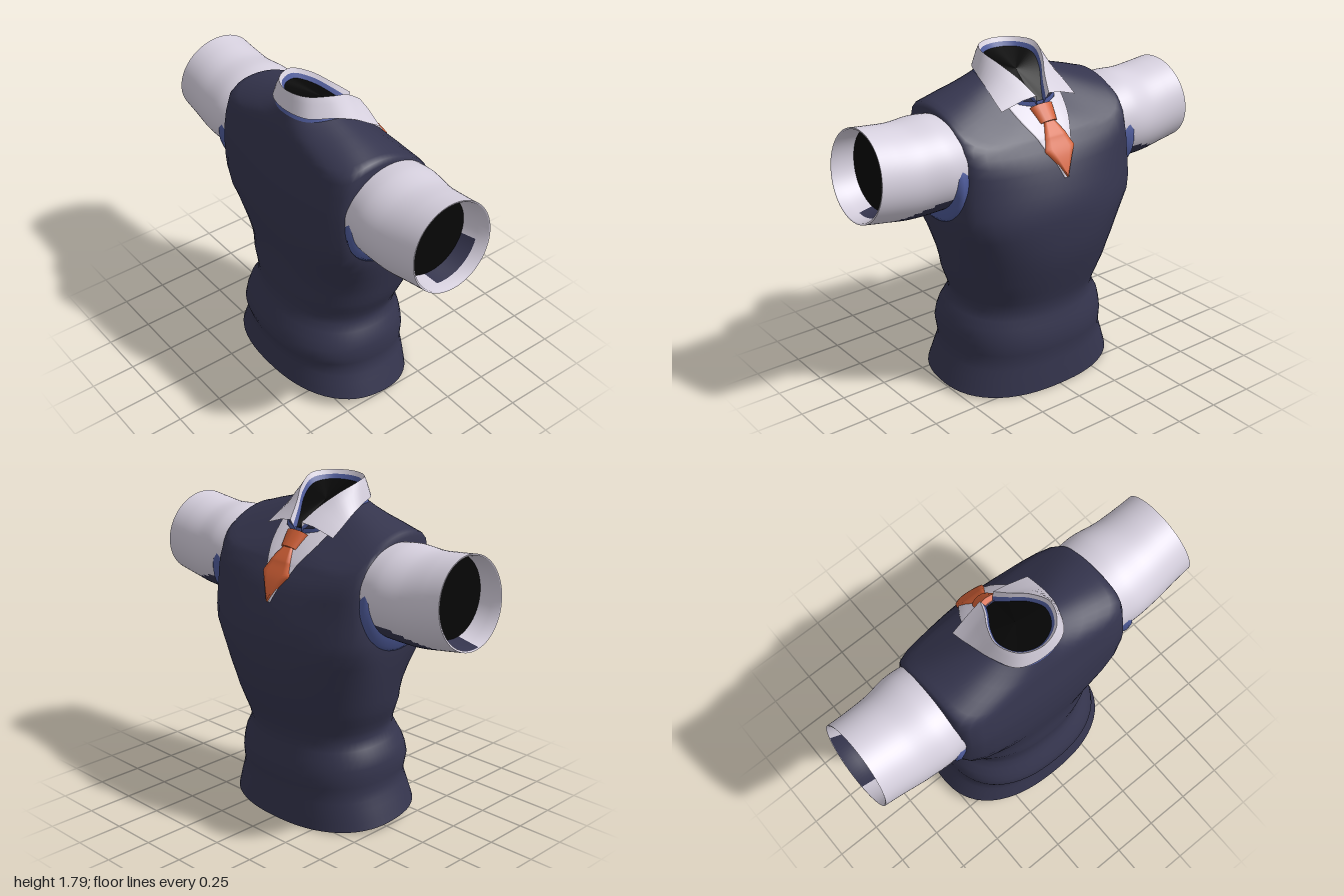
import * as THREE from 'three';

const paint = (name, color) => {
  const m = new THREE.MeshStandardMaterial({ color, side: THREE.DoubleSide });
  m.name = name;
  return m;
};
const V = (x, y, z) => new THREE.Vector3(x, y, z);

// Smooth interpolation between the rows of a small table
function sample(table, k) {
  const last = table.length - 1;
  const i = Math.min(Math.floor(k), last - 1), t = k - i;
  const row = (j) => table[Math.max(0, Math.min(last, j))];
  return row(i).map((b, c) => {
    const a = row(i - 1)[c], d = row(i + 1)[c], e = row(i + 2)[c];
    return b + 0.5 * t * (d - a + t * (2 * a - 5 * b + 4 * d - e + t * (3 * (b - d) + e - a)));
  });
}

// Skin over rows of points; pick(i, j) chooses a material index for each quad
function loft(rows, closed = false, pick = null) {
  const n = rows[0].length, cols = closed ? n : n - 1, buckets = [[], [], []];
  for (let i = 0; i < rows.length - 1; i++) {
    for (let j = 0; j < cols; j++) {
      const a = i * n + j, b = i * n + (j + 1) % n;
      buckets[pick ? pick(i, j) : 0].push(a, a + n, b, b, a + n, b + n);
    }
  }
  const g = new THREE.BufferGeometry().setFromPoints(rows.flat());
  g.setIndex(buckets.flat());
  if (pick) {
    let start = 0;
    buckets.forEach((b, m) => { g.addGroup(start, b.length, m); start += b.length; });
  }
  g.computeVertexNormals();
  return g;
}

// Flat cover across a ring
function cover(ring) {
  const mid = ring.reduce((s, p) => s.add(p), V(0, 0, 0)).divideScalar(ring.length);
  return loft([ring, ring.map(() => mid.clone())], true);
}

// Vest rings: half width, back z, back y, chest z, chest y, side lift, squareness, chest taper
const VEST = [
  [0.523, 0.415, 0.08, -0.34, 0.006, 0, 2.35, 0],
  [0.49, 0.40, 0.16, -0.335, 0.11, 0, 2.35, 0],
  [0.46, 0.387, 0.243, -0.33, 0.20, 0, 2.35, 0],
  [0.465, 0.414, 0.325, -0.34, 0.29, 0, 2.35, 0],
  [0.45, 0.385, 0.42, -0.325, 0.39, 0, 2.3, 0],
  [0.40, 0.345, 0.51, -0.31, 0.48, 0, 2.3, 0],
  [0.43, 0.337, 0.59, -0.34, 0.59, 0, 2.3, 0],
  [0.46, 0.342, 0.66, -0.365, 0.67, 0, 2.3, 0],
  [0.49, 0.335, 0.78, -0.40, 0.80, 0, 2.5, 0.08],
  [0.525, 0.35, 0.95, -0.414, 0.95, 0, 3.8, 0.22],
  [0.54, 0.36, 1.10, -0.41, 1.08, 0, 8, 0.32],
  [0.527, 0.355, 1.24, -0.367, 1.22, 0.03, 10, 0.25],
  [0.517, 0.343, 1.36, -0.325, 1.32, 0.08, 10, 0.15],
  [0.515, 0.315, 1.50, -0.28, 1.39, 0.115, 8, 0.12],
  [0.47, 0.305, 1.55, -0.26, 1.42, 0.10, 5, 0.1],
  [0.33, 0.29, 1.61, -0.21, 1.475, 0.085, 3, 0.03],
  [0.20, 0.265, 1.675, -0.15, 1.54, 0.06, 2.1, 0],
];
function vestPoint([w, zb, yb, zf, yf, lift, , taper], c, s0) {
  const s = s0 * (1 - (s0 < 0 ? taper : taper * 0.3) * c * c);
  return V(w * c, (yb + yf) / 2 + s * (yb - yf) / 2 + lift * c * c * (1 - s * s),
    (zb + zf) / 2 + s * (zb - zf) / 2);
}

function vestRing(k, count = 64) {
  const r = sample(VEST, k);
  return Array.from({ length: count }, (_, j) => {
    const t = (j / count) * Math.PI * 2, c = Math.cos(t), s = Math.sin(t);
    const size = (Math.abs(c) ** r[6] + Math.abs(s) ** r[6]) ** (-1 / r[6]);
    return vestPoint(r, c * size, s * size);
  });
}

// Thin cloth lying on the chest, its half width depending on z, its sides tucked in
function chestPatch(k0, k1, halfWidth, offset) {
  const rows = [];
  for (let i = 0; i <= 36; i++) {
    const r = sample(VEST, k0 + (k1 - k0) * i / 36), row = [];
    for (const u of [-1, -0.96, -0.6, -0.3, 0, 0.3, 0.6, 0.96, 1]) {
      const c = halfWidth(r[3]) * u / r[0], out = Math.abs(u) === 1 ? 0 : offset;
      const p = vestPoint(r, c, -((1 - Math.abs(c) ** r[6]) ** (1 / r[6])));
      row.push(p.add(V(0, 0.55 * out, -0.83 * out)));
    }
    rows.push(row);
  }
  return loft(rows);
}

// Half an edge mirrored into a full smooth edge running round the neck
function neckEdge(half) {
  const right = half.map((p) => V(...p));
  const left = half.slice(1).reverse().map(([x, y, z]) => V(-x, y, z));
  return new THREE.CatmullRomCurve3([...left, ...right]).getPoints(48);
}

// Sleeve rings: x, top y, bottom y, chest z, back z, slant of the cuff
const SLEEVE = [
  [0.495, 1.548, 1.085, -0.235, 0.285, 0],
  [0.60, 1.56, 1.075, -0.24, 0.295, 0],
  [0.74, 1.553, 1.07, -0.222, 0.285, 0.005],
  [0.87, 1.565, 1.09, -0.213, 0.272, 0.015],
  [0.975, 1.577, 1.11, -0.21, 0.265, 0.025],
];
const LINING = [
  [0.973, 1.568, 1.119, -0.201, 0.257, 0.025],
  [0.92, 1.558, 1.125, -0.18, 0.257, 0.02],
  [0.85, 1.55, 1.135, -0.155, 0.257, 0.01],
];
const ARM_TRIM = [
  [0.49, 1.52, 1.025, -0.235, 0.28, 0],
  [0.54, 1.525, 1.005, -0.25, 0.299, -0.005],
  [0.565, 1.50, 1.03, -0.245, 0.295, -0.005],
  [0.578, 1.47, 1.085, -0.22, 0.27, 0],
];
const SEGMENTS = 72;
const armRing = ([x, top, bottom, zf, zb, slant], side) =>
  Array.from({ length: SEGMENTS }, (_, j) => {
    const t = (j / SEGMENTS) * Math.PI * 2, s = Math.sin(t);
    return V(side * (x - slant * s), (top + bottom) / 2 + s * (top - bottom) / 2,
      (zf + zb) / 2 + Math.cos(t) * (zb - zf) / 2);
  });

export function createModel() {
  const navy = paint('navy knit', 0x35354e);
  const white = paint('shirt white', 0xd6d0de);
  const blue = paint('blue trim', 0x4f5c9c);
  const orange = paint('tie orange', 0xd26036);
  const black = paint('dark inside', 0x060606);

  const model = new THREE.Group();
  model.name = 'vestAndShirt';
  const add = (name, geometry, material, parent = model) => {
    const mesh = new THREE.Mesh(geometry, material);
    mesh.name = name;
    parent.add(mesh);
    return mesh;
  };

  // Vest body, dark hem opening and blue neck trim
  const rings = [];
  for (let k = 0; k <= VEST.length - 1; k += 0.5) rings.push(vestRing(k));
  add('vest', loft(rings, true), navy);
  add('hemOpening', cover(rings[0].map((p) => V(p.x * 0.985, p.y + 0.004, p.z * 0.985))), black);
  const neck = rings[rings.length - 1];
  add('neckTrim', loft([
    neck.map((p) => V(p.x * 1.03, p.y - 0.004, p.z + 0.004)),
    neck.map((p) => V(p.x * 0.97, p.y + 0.025, p.z * 0.97)),
  ], true), blue);

  // Collar, its lining and the dark neck opening
  const fold = neckEdge([[0, 1.797, 0.255], [0.11, 1.795, 0.215], [0.165, 1.787, 0.11],
    [0.135, 1.742, 0.005], [0.08, 1.675, -0.085], [0.04, 1.603, -0.17]]);
  const edge = neckEdge([[0, 1.696, 0.272], [0.14, 1.694, 0.235], [0.205, 1.682, 0.11],
    [0.224, 1.645, 0.01], [0.232, 1.597, -0.07], [0.235, 1.552, -0.143]]);
  const middle = fold.map((p, i) => p.clone().lerp(edge[i], 0.4).add(V(0, 0.008, 0)));
  add('collar', loft([fold, middle, edge]), white);
  const inside = neckEdge([[0, 1.75, 0.23], [0.1, 1.75, 0.19], [0.142, 1.735, 0.1],
    [0.115, 1.685, 0.005], [0.057, 1.61, -0.085], [0.02, 1.545, -0.15]]);
  const lip = fold.map((p, i) => p.clone().lerp(inside[i], 0.5));
  add('collarLip', loft([fold, lip]), white);
  add('collarLining', loft([lip, inside]), blue);
  add('neckOpening', cover(inside), black);

  // Shirt showing in the V of the vest, with the tie over it
  const shirt = (z) => Math.max(0, Math.min(z + 0.38, 0.085 + (z + 0.295) * 0.67));
  add('shirtFront', chestPatch(11, 16, shirt, 0.007), white);
  const blade = (z) => Math.max(0, Math.min((z + 0.367) * 1.45, 0.09 - (z + 0.305) * 0.65));
  add('tieBlade', chestPatch(11, 15.4, blade, 0.018), orange);
  const knot = add('tieKnot', new THREE.CylinderGeometry(0.07, 0.052, 0.095, 12), orange);
  knot.scale.z = 0.5;
  knot.position.set(0, 1.505, -0.187);
  knot.rotation.x = 0.75;

  // Sleeves, with vest cloth showing under each arm
  for (const side of [1, -1]) {
    const arm = new THREE.Group();
    arm.name = side > 0 ? 'leftSleeve' : 'rightSleeve';
    model.add(arm);
    const steps = 60;
    const outer = Array.from({ length: steps + 1 }, (_, i) => armRing(sample(SLEEVE, i / steps * 4), side));
    const underarm = (i, j) => {
      const x = Math.abs(outer[i][0].x), d = ((j + 0.5) / SEGMENTS - 0.75) * Math.PI * 2;
      const spot = Math.min(Math.hypot((x - 0.68) / 0.06, (d + 0.35) / 0.22),
        Math.hypot((x - 0.63) / 0.035, (d - 0.5) / 0.12));
      if (spot < 1) return 2;
      const fade = 1 - ((x - 0.46) / 0.45) ** 4;
      const bump = side > 0 ? 0.42 * Math.max(0, 1 - Math.abs(x - 0.71) / 0.08) : 0.05;
      return d > -1.05 * fade && d < 0.52 * fade + bump ? 1 : 0;
    };
    add('sleeve', loft(outer, true, underarm), [white, navy, blue], arm);

    const inner = [outer[steps], ...LINING.map((r) => armRing(r, side))];
    const liningColor = (i, j) => (i > (side > 0 ? 1 : 0) && j > 39 && j < 56 ? 1 : 0);
    add('sleeveLining', loft(inner, true, liningColor), [white, navy], arm);
    add('sleeveOpening', cover(inner[3]), black, arm);
    add('armholeTrim', loft(ARM_TRIM.map((r) => armRing(r, side)), true), blue, arm);
  }
  return model;
}
